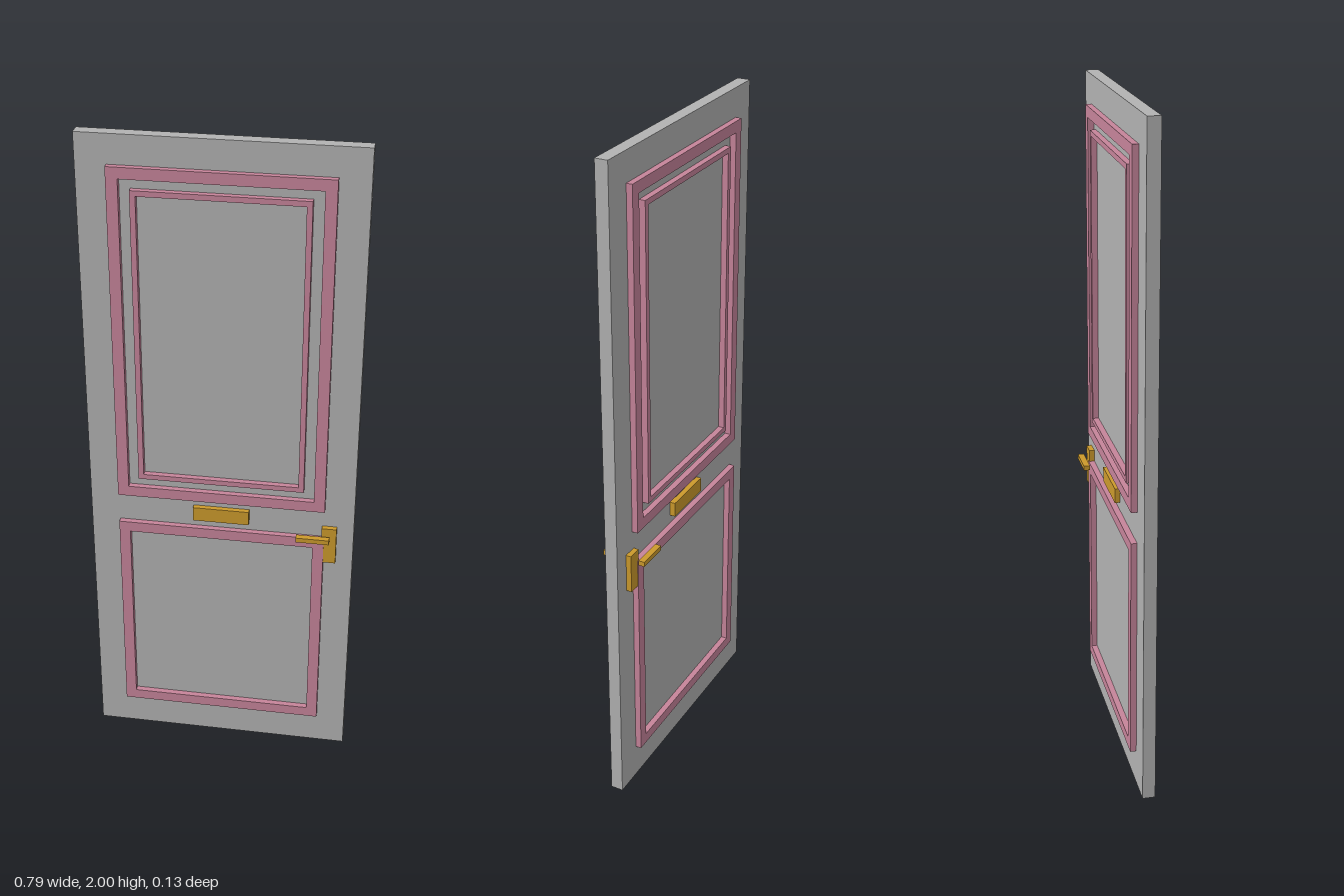
import * as THREE from 'three';

const grey = new THREE.MeshStandardMaterial({ name: 'door grey', color: 0xb2b2b2 });
const pink = new THREE.MeshStandardMaterial({ name: 'moulding pink', color: 0xc6849a });
const brass = new THREE.MeshStandardMaterial({ name: 'brass', color: 0xcc9a2c });

const DOOR = 0.019; // half thickness of the door leaf

// Box given by its lower and upper corners
function block(name, material, [x0, y0, z0], [x1, y1, z1]) {
  const mesh = new THREE.Mesh(new THREE.BoxGeometry(x1 - x0, y1 - y0, z1 - z0), material);
  mesh.position.set((x0 + x1) / 2, (y0 + y1) / 2, (z0 + z1) / 2);
  mesh.name = name;
  return mesh;
}

// Rectangular moulding of the given width, standing out on both door faces
function moulding(name, halfX, y0, y1, width, halfZ) {
  const corners = (inset) => [
    new THREE.Vector2(-halfX + inset, y0 + inset),
    new THREE.Vector2(halfX - inset, y0 + inset),
    new THREE.Vector2(halfX - inset, y1 - inset),
    new THREE.Vector2(-halfX + inset, y1 - inset),
  ];
  const shape = new THREE.Shape(corners(0));
  shape.holes.push(new THREE.Path(corners(width).reverse()));
  const group = new THREE.Group();
  group.name = name;
  for (const [side, z] of [['front', DOOR], ['back', -halfZ]]) {
    const geometry = new THREE.ExtrudeGeometry(shape, { depth: halfZ - DOOR, bevelEnabled: false });
    geometry.translate(0, 0, z);
    const mesh = new THREE.Mesh(geometry, pink);
    mesh.name = `${name} ${side}`;
    group.add(mesh);
  }
  return group;
}

export function createModel() {
  const door = new THREE.Group();
  door.name = 'door';

  // Leaf
  door.add(block('leaf', grey, [-0.397, 0, -DOOR], [0.397, 2, DOOR]));

  // Panel mouldings
  door.add(moulding('upperOuterMoulding', 0.31, 0.888, 1.915, 0.033, 0.037));
  door.add(moulding('upperInnerMoulding', 0.246, 0.951, 1.852, 0.016, 0.037));
  door.add(moulding('lowerMoulding', 0.31, 0.108, 0.793, 0.033, 0.037));

  // Brass fittings, alike on both faces
  door.add(block('letterPlate', brass, [-0.084, 0.819, -0.035], [0.084, 0.864, 0.035]));
  door.add(block('lockPlate', brass, [0.303, 0.71, -0.035], [0.347, 0.83, 0.035]));
  door.add(block('frontHandle', brass, [0.229, 0.795, 0.048], [0.328, 0.81, 0.067]));
  door.add(block('backHandle', brass, [0.229, 0.795, -0.067], [0.328, 0.81, -0.048]));

  return door;
}
